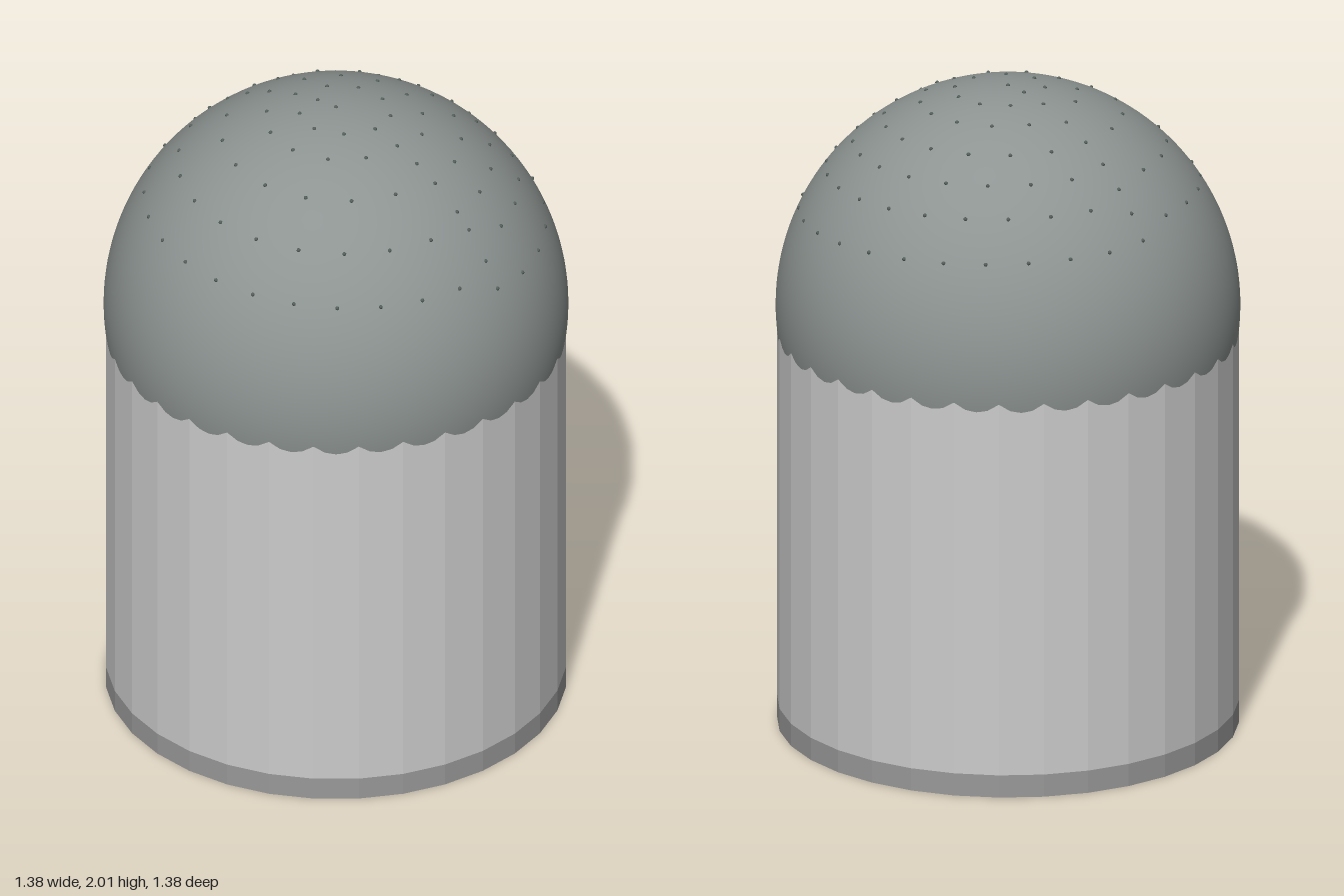
import * as THREE from 'three';

const R = 0.69;          // dome radius
const CENTRE_Y = 1.31;   // dome centre height
const WALL_R = 0.6865;   // slightly under the dome, so its facets scallop the dome's edge
const SIDES = 32;
const BAND_H = 0.07;

const material = (color, flatShading = false) =>
  new THREE.MeshStandardMaterial({ color, flatShading });

function part(name, geometry, mat, y) {
  const mesh = new THREE.Mesh(geometry, mat);
  mesh.name = name;
  mesh.position.y = y;
  return mesh;
}

export function createModel() {
  const model = new THREE.Group();
  model.name = 'domedCylinder';

  // Base band, closed underneath
  model.add(part('baseBand', new THREE.CylinderGeometry(WALL_R, WALL_R, BAND_H, SIDES),
    material(0x999999, true), BAND_H / 2));

  // Faceted wall, ending inside the dome
  const wallH = CENTRE_Y - BAND_H;
  model.add(part('wall', new THREE.CylinderGeometry(WALL_R, WALL_R, wallH, SIDES),
    material(0xcccccc, true), BAND_H + wallH / 2));

  // Smooth dome, continued a little below its equator
  model.add(part('dome',
    new THREE.SphereGeometry(R, 128, 48, 0, Math.PI * 2, 0, Math.PI * 0.58),
    material(0x8d9492), CENTRE_Y));

  // Pinpoint studs on the dome
  const studs = new THREE.Group();
  studs.name = 'studs';
  const studGeometry = new THREE.SphereGeometry(0.006, 8, 6);
  const studMaterial = material(0x55605c);
  const addStud = (x, z) => {
    const stud = part('stud', studGeometry, studMaterial, 0);
    stud.position.set(x, CENTRE_Y + Math.sqrt(R * R - x * x - z * z), z);
    studs.add(stud);
  };

  // Seam row running from back to front over the crown
  [-0.59, -0.54, -0.485, -0.415, -0.34, -0.255, -0.155, -0.07, 0,
    0.15, 0.235, 0.31, 0.38, 0.465, 0.51, 0.575, 0.62].forEach((z) => addStud(0, z));

  // Half rings on each side of the seam: [radius, count]
  const halves = [
    { side: 1, rings: [[0.15, 4], [0.25, 6], [0.36, 8], [0.45, 10], [0.53, 12], [0.61, 14]] },
    { side: -1, rings: [[0.12, 3], [0.22, 5], [0.35, 7], [0.48, 10], [0.58, 13]] },
  ];
  for (const { side, rings } of halves) {
    for (const [radius, count] of rings) {
      for (let i = 1; i <= count; i++) {
        const a = (i / (count + 1)) * Math.PI;
        addStud(side * radius * Math.sin(a), 0.015 - radius * Math.cos(a));
      }
    }
  }
  model.add(studs);
  return model;
}
